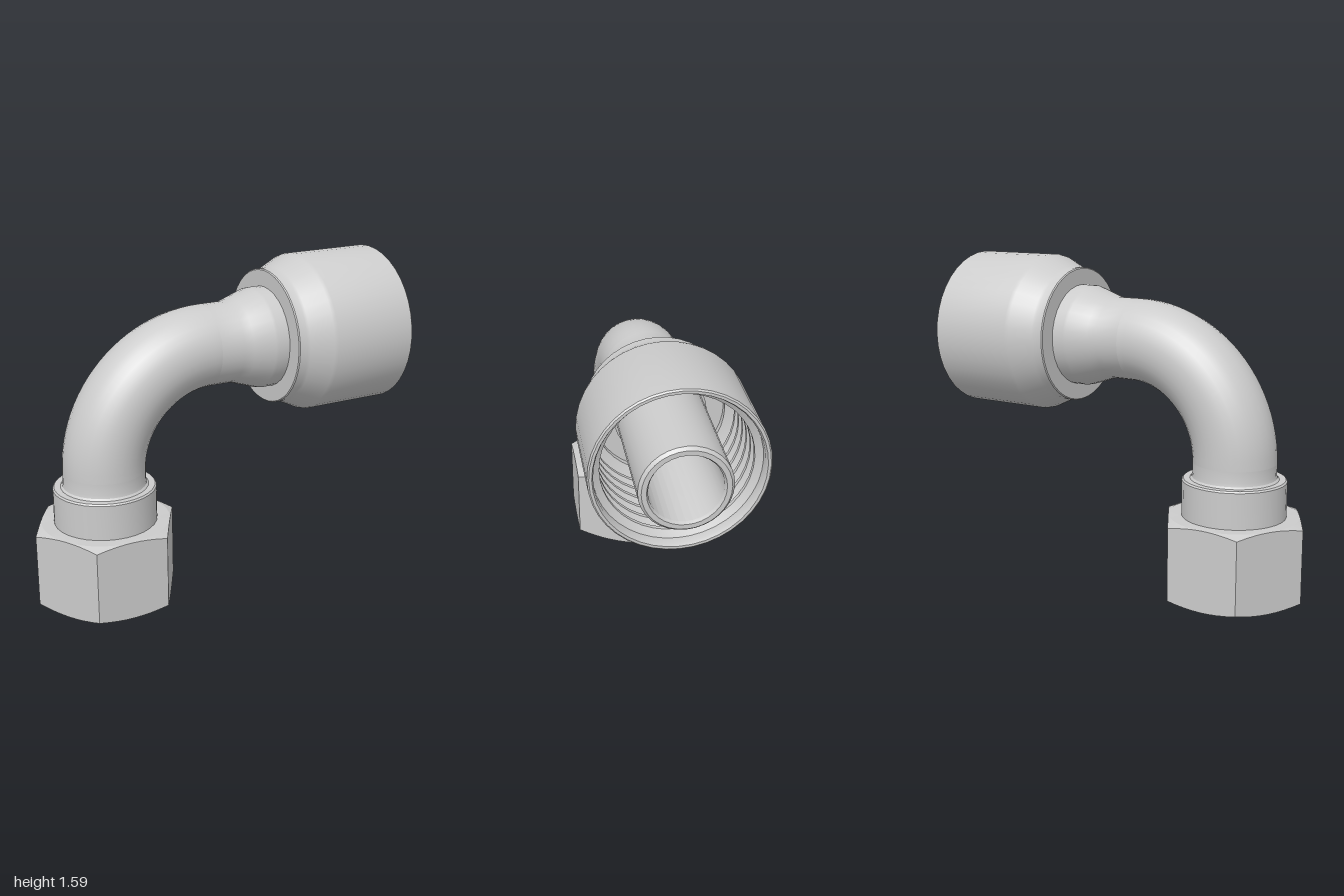
import * as THREE from 'three';
import { toCreasedNormals } from 'three/addons/utils/BufferGeometryUtils.js';

const NUT_X = -0.64;      // axis of the nut
const AXIS_Y = 1.195;     // axis of the hose end
const BEND = 0.54;        // bend radius of the elbow
const TUBE = 0.2, BORE = 0.16;

const material = new THREE.MeshStandardMaterial({ color: 0xcccccc, side: THREE.DoubleSide });

// Closed profile of [radius, height] pairs: up the outside, down the inside
function lathe(points, segments = 32) {
  return new THREE.LatheGeometry(points.map(([r, h]) => new THREE.Vector2(r, h)), segments);
}

function part(name, geometry, crease = 0.5) {
  const mesh = new THREE.Mesh(toCreasedNormals(geometry, crease), material);
  mesh.name = name;
  return mesh;
}

// Hexagon nut: a lathe whose widest rings are pushed out to a hexagon,
// dipping towards the corners to form the chamfers
function nutGeometry() {
  const height = 0.395, flat = 0.312;
  const profile = [[0.268, 0], [flat - 0.001, 0], [0.36, 0], [0.36, height],
    [flat - 0.001, height], [0.245, height], [0.245, 0.25]];
  const pitch = 0.022;
  for (let i = 10; i >= 1; i--) {           // internal thread
    profile.push([0.26, i * pitch + 0.011], [0.243, i * pitch]);
  }
  profile.push([0.268, 0]);
  const geometry = lathe(profile, 48);
  const pos = geometry.attributes.position;
  for (let i = 0; i < pos.count; i++) {
    const x = pos.getX(i), z = pos.getZ(i), y = pos.getY(i);
    if (Math.hypot(x, z) < 0.35) continue;
    const angle = Math.atan2(x, z), step = Math.PI / 3;
    const r = flat / Math.cos(angle - Math.round(angle / step) * step);
    const dip = 0.4 * (r - flat);
    pos.setXYZ(i, r * Math.sin(angle), y > 0.2 ? y - dip : y + dip, r * Math.cos(angle));
  }
  return geometry;
}

export function createModel() {
  const group = new THREE.Group();
  const bendY = AXIS_Y - BEND, bendX = NUT_X + BEND;

  const nut = part('hexNut', nutGeometry(), 0.3);
  nut.position.x = NUT_X;
  group.add(nut);

  // Collar above the nut, with the sealing end inside it
  const collar = part('collar', lathe([
    [BORE, 0.2], [0.22, 0.2], [0.24, 0.265], [0.25, 0.27], [0.25, 0.568], [0.243, 0.576],
    [0.212, 0.576], [0.203, 0.585], [TUBE, 0.6], [TUBE, bendY], [BORE, bendY], [BORE, 0.2],
  ]));
  collar.position.x = NUT_X;
  group.add(collar);

  // Quarter bend, outer skin and bore
  for (const [name, r] of [['elbow', TUBE], ['elbowBore', BORE]]) {
    const bend = part(name, new THREE.TorusGeometry(BEND, r, 32, 24, Math.PI / 2));
    bend.rotation.z = Math.PI / 2;
    bend.position.set(bendX, bendY, 0);
    group.add(bend);
  }

  // Hose end lying along x
  const hoseEnd = new THREE.Group();
  hoseEnd.name = 'hoseEnd';
  hoseEnd.rotation.z = -Math.PI / 2;
  hoseEnd.position.y = AXIS_Y;
  group.add(hoseEnd);

  // Flared stem running on into the hose nipple
  hoseEnd.add(part('stem', lathe([
    [TUBE, bendX], [TUBE, 0.02], [0.215, 0.065], [0.248, 0.165], [0.25, 0.18], [0.25, 0.3],
    [0.215, 0.31], [0.215, 0.36], [0.203, 0.37], [0.203, 0.985], [0.19, 1], [0.168, 1],
    [BORE, 0.985], [BORE, bendX],
  ])));

  // Crimp shell with gripping teeth inside
  const shell = [[0.24, 0.24], [0.33, 0.24], [0.335, 0.245], [0.335, 0.285], [0.34, 0.3],
    [0.39, 0.405], [0.395, 0.425], [0.395, 0.858], [0.388, 0.865], [0.375, 0.865], [0.368, 0.85]];
  for (let i = 0; i < 6; i++) {
    const x = 0.81 - i * 0.075;
    shell.push([0.368, x], [0.335, x - 0.02], [0.335, x - 0.04], [0.368, x - 0.06]);
  }
  shell.push([0.33, 0.355], [0.303, 0.345], [0.303, 0.315], [0.2, 0.315]);
  hoseEnd.add(part('crimpShell', lathe(shell, 40)));

  return group;
}
